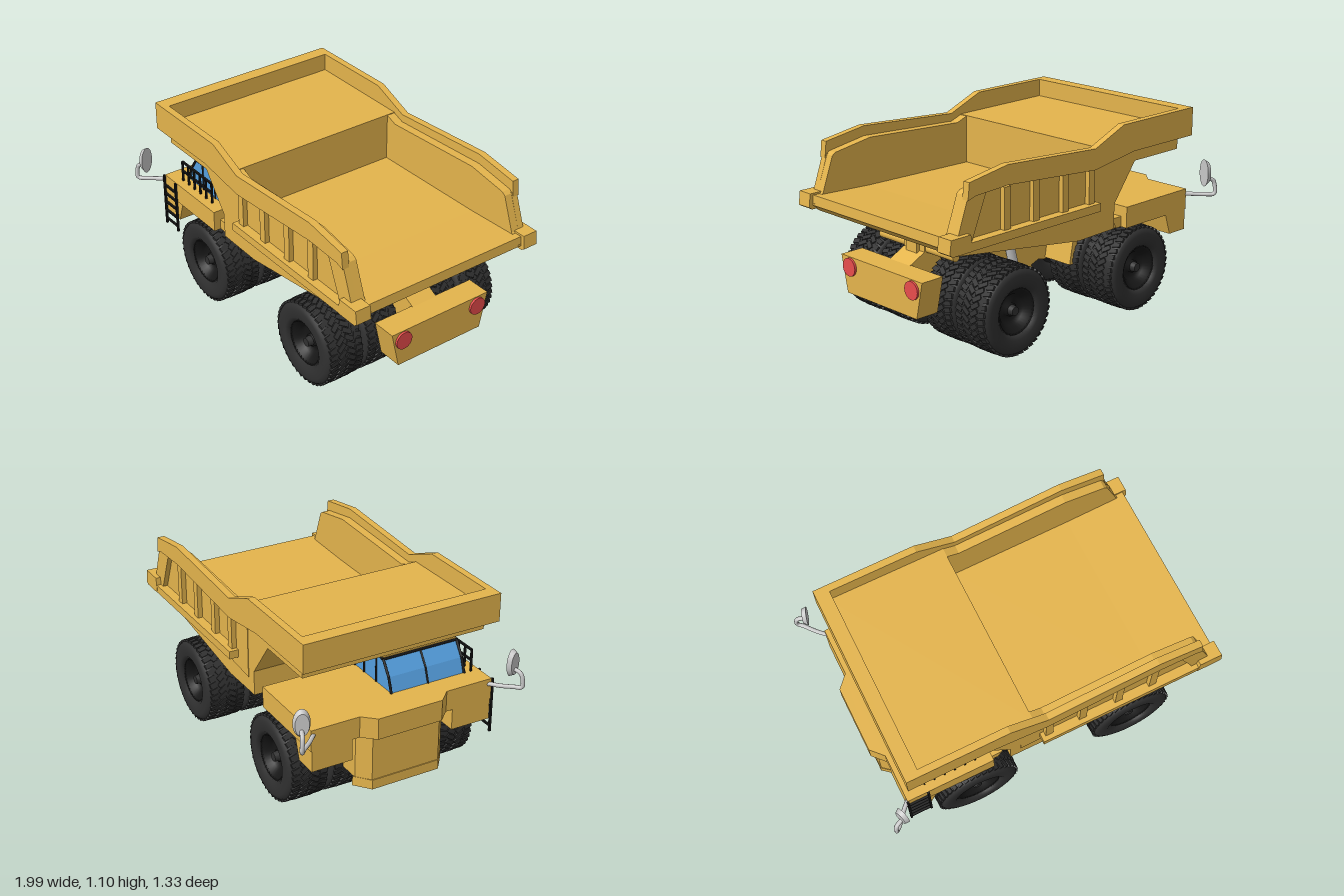
import * as THREE from 'three';
import { mergeGeometries } from 'three/addons/utils/BufferGeometryUtils.js';

const mat = (color) => new THREE.MeshStandardMaterial({ color });
const YELLOW = mat(0xe4b44c), BLACK = mat(0x151515), RUBBER = mat(0x303030), RIM = mat(0x161616),
  GLASS = mat(0x55a0e0), RED = mat(0xe84c4c), GREY = mat(0xc4c4c4);

export function createModel() {
  const root = new THREE.Group();
  root.name = 'dumpTruck';
  const add = (name, geo, material = YELLOW, parent = root) => {
    const m = new THREE.Mesh(geo, material);
    m.name = name;
    parent.add(m);
    return m;
  };
  // box from its limits on each axis
  const box = (x0, x1, y0, y1, z0, z1) =>
    new THREE.BoxGeometry(x1 - x0, y1 - y0, z1 - z0).translate((x0 + x1) / 2, (y0 + y1) / 2, (z0 + z1) / 2);
  const shape = (pts) => new THREE.Shape(pts.map(([x, y]) => new THREE.Vector2(x, y)));
  // side profile (x, y) pushed from z0 to z1
  const side = (pts, z0, z1) =>
    new THREE.ExtrudeGeometry(shape(pts), { depth: z1 - z0, bevelEnabled: false }).translate(0, 0, z0);
  // plan outline (x, z) pushed from y0 to y1
  const plan = (pts, y0, y1) =>
    new THREE.ExtrudeGeometry(shape(pts.map(([x, z]) => [x, -z])), { depth: y1 - y0, bevelEnabled: false })
      .rotateX(-Math.PI / 2).translate(0, y0, 0);
  // round bar between two points
  const bar = (a, b, r, n = 8) => {
    const p = new THREE.Vector3(...a), d = new THREE.Vector3(...b).sub(p), len = d.length();
    return new THREE.CylinderGeometry(r, r, len, n).translate(0, len / 2, 0)
      .applyQuaternion(new THREE.Quaternion().setFromUnitVectors(new THREE.Vector3(0, 1, 0), d.normalize()))
      .translate(p.x, p.y, p.z);
  };

  // ---- Dump bed: canopy, front wall and flat load floor in one profile
  add('bedFloorAndCanopy', side([[-0.8, 1.0], [-0.8, 0.94], [-0.78, 0.94], [-0.78, 0.87], [-0.42, 0.87], [-0.26, 0.66],
    [-0.26, 0.52], [0.02, 0.515], [0.9, 0.64], [0.965, 0.69], [0.96, 0.745], [0.6, 0.73], [-0.13, 0.72], [-0.13, 0.995]],
  -0.537, 0.537));
  add('canopyFrontLip', box(-0.86, -0.78, 0.94, 1.1, -0.575, 0.575));
  for (const s of [1, -1]) {
    const bed = new THREE.Group();
    bed.name = s > 0 ? 'leftBedSide' : 'rightBedSide';
    root.add(bed);
    const span = (a, b) => (s > 0 ? [a, b] : [-b, -a]);
    // thick wall whose top forms a ledge inside the rail
    add('sideWall', side([[-0.2, 0.6], [0.9, 0.68], [0.965, 0.7], [0.91, 0.75], [0.84, 0.94], [0.82, 0.955],
      [0.58, 0.995], [-0.06, 0.965], [-0.14, 0.995], [-0.2, 0.995]], ...span(0.485, 0.54)), YELLOW, bed);
    // deep top rail following the canopy and the wall
    add('topRail', side([[-0.86, 1.1], [-0.86, 0.94], [-0.37, 0.94], [-0.06, 0.895], [0.58, 0.945], [0.8, 0.935],
      [0.85, 0.92], [0.84, 1.01], [0.58, 1.05], [-0.06, 1.01], [-0.28, 1.1]], ...span(0.535, 0.575)), YELLOW, bed);
    add('lowerRail', box(-0.09, 0.95, 0.667, 0.712, ...span(0.53, 0.593)), YELLOW, bed);
    add('tailCorner', side([[0.84, 0.667], [0.97, 0.667], [0.99, 0.68], [0.98, 0.755], [0.85, 0.755]],
      ...span(0.505, 0.595)), YELLOW, bed);
    for (const x of [-0.045, 0.155, 0.37, 0.575])
      add('wallRib', box(x - 0.022, x + 0.022, 0.7, 0.935, ...span(0.53, 0.567)), YELLOW, bed);
    add('rearSlantedRib', side([[0.82, 0.7], [0.92, 0.7], [0.91, 0.75], [0.84, 0.945], [0.72, 0.94]],
      ...span(0.53, 0.567)), YELLOW, bed);
  }

  // ---- Chassis
  add('mainFrame', side([[-0.72, 0.5], [-0.72, 0.28], [-0.2, 0.25], [0.1, 0.31], [0.8, 0.34], [0.8, 0.455], [0.7, 0.505],
    [0.7, 0.615], [0.3, 0.56], [0.1, 0.53], [-0.3, 0.53]], -0.08, 0.08));
  add('crossMember', side([[-0.31, 0.53], [-0.25, 0.53], [-0.2, 0.26], [-0.23, 0.26]], -0.27, 0.27));
  add('hoistBracket', side([[-0.18, 0.35], [-0.17, 0.27], [-0.09, 0.24], [-0.14, 0.14], [0.01, 0.14], [0.03, 0.38]], -0.08, 0.08));
  add('hoistPin', bar([-0.06, 0.19, -0.1], [-0.06, 0.19, 0.1], 0.033, 20));
  for (const s of [1, -1]) {
    add('hoistCylinder', bar([0.05, 0.17, s * 0.115], [0.14, 0.5, s * 0.115], 0.027, 16), GREY);
    add('hoistFoot', side([[0, 0.17], [0.08, 0.145], [0.1, 0.17], [0.02, 0.195]], s * 0.115 - 0.035, s * 0.115 + 0.035));
    add('hoistTopMount', box(0.1, 0.2, 0.49, 0.54, s * 0.115 - 0.035, s * 0.115 + 0.035));
  }
  // rear box, narrower at the foot
  const tail = plan([[0.79, -0.32], [0.79, 0.32], [0.93, 0.32], [0.93, -0.32]], 0.25, 0.455);
  const tp = tail.attributes.position;
  for (let i = 0; i < tp.count; i++) if (tp.getY(i) < 0.3) tp.setZ(i, tp.getZ(i) * 0.86);
  tail.computeVertexNormals();
  add('rearBox', tail);
  for (const s of [1, -1])
    add('tailLight', bar([0.925, 0.4, s * 0.247], [0.942, 0.4, s * 0.247], 0.05, 28), RED);
  add('bedHinge', bar([0.67, 0.52, -0.29], [0.67, 0.52, 0.29], 0.024, 16));
  add('hingeBlock', box(0.62, 0.72, 0.46, 0.61, -0.042, 0.042));

  // ---- Front deck, nose and fenders
  add('frontDeck', plan([[-0.935, -0.19], [-0.935, 0.19], [-0.87, 0.26], [-0.87, 0.54], [-0.36, 0.54], [-0.36, -0.54],
    [-0.87, -0.54], [-0.87, -0.26]], 0.5, 0.62));
  add('deckRearEdge', side([[-0.36, 0.56], [-0.29, 0.56], [-0.32, 0.5], [-0.36, 0.5]], -0.5, 0.5));
  add('nose', plan([[-0.9, -0.2], [-0.9, 0.2], [-0.83, 0.26], [-0.71, 0.26], [-0.71, -0.26], [-0.83, -0.26]], 0.24, 0.5));
  add('frontBumper', plan([[-0.905, -0.2], [-0.905, 0.2], [-0.82, 0.27], [-0.82, -0.27]], 0.19, 0.245));
  for (const s of [1, -1]) {
    const [a, b] = s > 0 ? [0.3, 0.535] : [-0.535, -0.3];
    add('fender', side([[-0.87, 0.5], [-0.87, 0.38], [-0.74, 0.38], [-0.7, 0.5]], a, b));
  }

  // ---- Cab with glass body, dark frame and roof
  const cab = [[-0.75, 0.615], [-0.72, 0.7], [-0.665, 0.78], [-0.53, 0.785], [-0.4, 0.74], [-0.39, 0.615]];
  const [c0, c1] = [0.0, 0.45];
  add('cabGlass', side(cab, c0, c1), GLASS);
  const frame = [];
  for (const z of [c0, c1]) {
    for (let i = 0; i < 5; i++) frame.push(bar([...cab[i], z], [...cab[i + 1], z], 0.008, 6));
    for (const x of [-0.6, -0.48]) frame.push(bar([x, 0.62, z], [x, x < -0.5 ? 0.78 : 0.768, z], 0.007, 6));
  }
  for (let i = 0; i < 2; i++) frame.push(bar([...cab[i], 0.225], [...cab[i + 1], 0.225], 0.006, 6));
  frame.push(bar([...cab[2], c0], [...cab[2], c1], 0.008, 6));
  add('cabFrame', mergeGeometries(frame), BLACK);
  add('cabRoof', side([[-0.665, 0.78], [-0.53, 0.785], [-0.4, 0.74], [-0.4, 0.75], [-0.53, 0.795], [-0.66, 0.79]], c0, c1));

  // ---- Ladder and handrail
  const rails = [];
  for (const x of [-0.87, -0.75]) rails.push(box(x - 0.006, x + 0.006, 0.3, 0.62, 0.54, 0.552));
  for (let i = 0; i < 5; i++) rails.push(box(-0.87, -0.75, 0.328 + i * 0.056, 0.338 + i * 0.056, 0.54, 0.552));
  for (const y of [0.685, 0.745]) rails.push(box(-0.75, -0.45, y - 0.005, y + 0.005, 0.485, 0.497));
  for (let i = 0; i < 6; i++) rails.push(box(-0.754 + i * 0.06, -0.746 + i * 0.06, 0.615, 0.745, 0.485, 0.497));
  add('ladderAndHandrail', mergeGeometries(rails), BLACK);

  // ---- Mirrors on bent arms
  for (const s of [1, -1]) {
    const path = new THREE.CatmullRomCurve3([[-0.86, 0.59, 0.52], [-0.91, 0.587, 0.57], [-0.96, 0.587, 0.63],
      [-0.98, 0.588, 0.648], [-0.987, 0.6, 0.654], [-0.985, 0.65, 0.65], [-0.975, 0.672, 0.645], [-0.94, 0.685, 0.63]]
      .map(([x, y, z]) => new THREE.Vector3(x, y, s * z)));
    add('mirrorArm', new THREE.TubeGeometry(path, 40, 0.012, 8), GREY);
    const m = add('mirror', new THREE.CylinderGeometry(1, 0.8, 0.025, 32).rotateZ(-Math.PI / 2).scale(1, 0.078, 0.045), GREY);
    m.position.set(-0.935, 0.718, s * 0.625);
    m.rotation.y = s * 0.35;
  }

  // ---- Wheels: lathed tyre, shallow chevron tread, recessed rim and hub
  const W = 0.117;
  const tyre = new THREE.LatheGeometry([[0.125, -0.1], [0.15, -W], [0.2, -W], [0.222, -0.11], [0.234, -0.092],
    [0.237, -0.07], [0.237, 0.07], [0.234, 0.092], [0.222, 0.11], [0.2, W], [0.15, W], [0.125, 0.1], [0.125, -0.1]]
    .map(([r, y]) => new THREE.Vector2(r, y)), 48).rotateX(Math.PI / 2);
  const blocks = [], N = 40;
  for (let i = 0; i < N; i++)
    for (const s of [1, -1])
      for (const [z, len, tilt] of [[0.028, 0.054, 0.6], [0.08, 0.044, 0.25]])
        blocks.push(new THREE.BoxGeometry(0.026, 0.012, len).rotateY(s * tilt)
          .translate(0, z < 0.05 ? 0.237 : 0.235, s * z).rotateZ((i / N) * Math.PI * 2));
  const tread = mergeGeometries(blocks);
  const rim = new THREE.LatheGeometry([[0.0001, -0.05], [0.1, -0.07], [0.128, -0.1], [0.128, 0.102], [0.115, 0.09],
    [0.085, 0.06], [0.075, 0.035], [0.036, 0.035], [0.036, 0.06], [0.0001, 0.06]]
    .map(([r, y]) => new THREE.Vector2(r, y)), 36).rotateX(Math.PI / 2);
  const hub = new THREE.CylinderGeometry(0.024, 0.03, 0.04, 18).rotateX(Math.PI / 2).translate(0, 0, 0.07);
  const rimMat = RIM.clone();
  rimMat.side = THREE.DoubleSide;
  for (const x of [-0.462, 0.49]) {
    add('axle', bar([x, 0.25, -0.45], [x, 0.25, 0.45], 0.06, 20), RIM);
    add('axleHousing', bar([x, 0.25, -0.085], [x, 0.25, 0.085], 0.1, 20));
    for (const z of [0.448, 0.202, -0.202, -0.448]) {
      const wheel = new THREE.Group();
      wheel.name = x < 0 ? 'frontWheel' : 'rearWheel';
      add('tyre', tyre, RUBBER, wheel);
      add('tread', tread, RUBBER, wheel);
      add('rim', rim, rimMat, wheel);
      add('hub', hub, RUBBER, wheel);
      wheel.position.set(x, 0.247, z);
      if (z < 0) wheel.rotation.y = Math.PI;
      root.add(wheel);
    }
  }
  return root;
}
